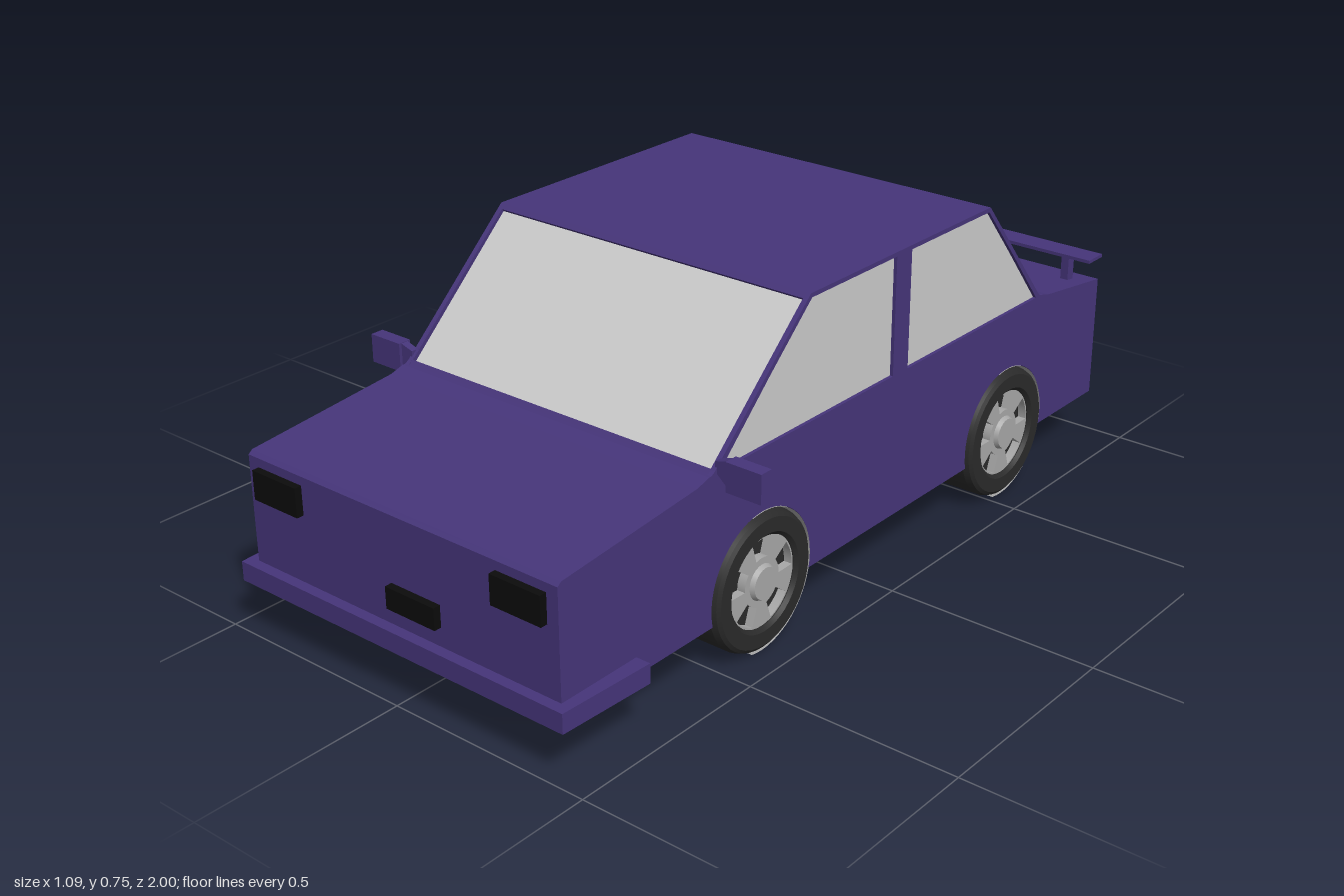
import * as THREE from 'three';

const mat = (color, side = THREE.FrontSide) => new THREE.MeshStandardMaterial({ color, side, flatShading: false });
const paint = mat(0x46357a), grey = mat(0xcccccc), metal = mat(0xa8a8a8, THREE.DoubleSide);
const rubber = mat(0x2a2a2a), black = mat(0x0c0c0c);
const WHEELS_Z = [0.375, -0.545], WHEEL_Y = 0.16, ARCH_R = 0.163, FLOOR = 0.125;

function add(parent, name, geometry, material, x = 0, y = 0, z = 0) {
  const mesh = new THREE.Mesh(geometry, material);
  mesh.name = name;
  mesh.position.set(x, y, z);
  parent.add(mesh);
  return mesh;
}
const box = (w, h, d) => new THREE.BoxGeometry(w, h, d);
const poly = (pts) => new THREE.Shape(pts.map(([a, b]) => new THREE.Vector2(a, b)));
const path = (pts) => new THREE.Path(pts.map(([a, b]) => new THREE.Vector2(a, b)));

// side profile given as (z, y), extruded across the car from x0 to x1
function profile(shape, x0, x1) {
  const g = new THREE.ExtrudeGeometry(shape, { depth: x1 - x0, bevelEnabled: false, curveSegments: 24 });
  return g.rotateY(-Math.PI / 2).translate(x1, 0, 0);
}

// lower body outline, optionally cut by the wheel arches
function bodyShape(arches) {
  const s = poly([[0.975, FLOOR], [0.975, 0.412], [0.965, 0.42], [0.58, 0.455], [0.545, 0.465],
    [-0.685, 0.465], [-0.715, 0.457], [-0.95, 0.425], [-0.95, FLOOR]]);
  if (arches) {
    const a = Math.asin((WHEEL_Y - FLOOR) / ARCH_R);
    for (const z of [...WHEELS_Z].reverse()) s.absarc(z, WHEEL_Y, ARCH_R, Math.PI + a, -a, true);
  }
  return s;
}

// framed screen leaning between a lower and an upper edge
function screenFrame(z0, y0, z1, y1) {
  const len = Math.hypot(z1 - z0, y1 - y0), w = 0.43, i = 0.418;
  const s = poly([[-w, 0], [w, 0], [w, len], [-w, len]]);
  s.holes.push(path([[-i, 0.012], [-i, len - 0.015], [i, len - 0.015], [i, 0.012]]));
  const g = new THREE.ExtrudeGeometry(s, { depth: 0.01, bevelEnabled: false });
  g.translate(0, 0, -0.01).rotateX(-Math.atan2(Math.abs(z1 - z0), y1 - y0));
  if (z0 < 0) g.rotateY(Math.PI);
  return g.translate(0, y0, z0);
}

// wheel whose outer face points to +x
function makeWheel() {
  const wheel = new THREE.Group();
  const pts = [[0, -0.06], [0.135, -0.06], [0.151, -0.055], [0.158, -0.042], [0.158, 0.044],
    [0.153, 0.058], [0.145, 0.064], [0.112, 0.064], [0.104, 0.056], [0.104, 0.03], [0, 0.03]];
  // repeated corners keep the tread and sidewall edges crisp
  const crisp = pts.flatMap(([r, y]) => [new THREE.Vector2(r, y), new THREE.Vector2(r, y)]);
  add(wheel, 'tyre', new THREE.LatheGeometry(crisp, 40).rotateZ(-Math.PI / 2), rubber);

  const rim = new THREE.Shape().absarc(0, 0, 0.105, 0, Math.PI * 2);
  for (let k = 0; k < 5; k++) {
    const a = Math.PI / 2 + k * Math.PI * 0.4;
    const hole = new THREE.Path();
    hole.absarc(0, 0, 0.1, a - 0.32, a + 0.32, false);
    hole.absarc(0, 0, 0.056, a + 0.34, a - 0.34, true);
    hole.closePath();
    rim.holes.push(hole);
  }
  const rimGeo = new THREE.ExtrudeGeometry(rim, { depth: 0.02, bevelEnabled: false, curveSegments: 20 });
  add(wheel, 'spokedRim', rimGeo.rotateY(Math.PI / 2), metal, 0.034);
  add(wheel, 'hubCap', new THREE.CylinderGeometry(0.036, 0.042, 0.012, 24).rotateZ(-Math.PI / 2), metal, 0.058);
  return wheel;
}

export function createModel() {
  const car = new THREE.Group();
  car.name = 'car';

  // lower body: solid core with arched flanks
  add(car, 'bodyCore', profile(bodyShape(false), -0.305, 0.305), paint);
  add(car, 'leftFlank', profile(bodyShape(true), 0.305, 0.43), paint);
  add(car, 'rightFlank', profile(bodyShape(true), -0.43, -0.305), paint);

  // cabin: glass block behind window frames, closed by the roof
  const cabin = new THREE.Group();
  cabin.name = 'cabin';
  car.add(cabin);
  add(cabin, 'glass', profile(poly([[0.523, 0.462], [0.221, 0.743], [-0.431, 0.743], [-0.668, 0.462]]), -0.422, 0.422), grey);
  const side = poly([[0.545, 0.46], [0.528, 0.471], [0.225, 0.75], [-0.435, 0.75], [-0.67, 0.471], [-0.69, 0.46]]);
  side.holes.push(path([[0.512, 0.466], [-0.075, 0.466], [-0.075, 0.744], [0.222, 0.744]]));
  side.holes.push(path([[-0.13, 0.466], [-0.658, 0.466], [-0.43, 0.744], [-0.13, 0.744]]));
  add(cabin, 'leftWindowFrame', profile(side, 0.42, 0.43), paint);
  add(cabin, 'rightWindowFrame', profile(side, -0.43, -0.42), paint);
  add(cabin, 'roof', box(0.86, 0.01, 0.66), paint, 0, 0.745, -0.105);
  add(cabin, 'windscreenFrame', screenFrame(0.534, 0.465, 0.225, 0.75), paint);
  add(cabin, 'rearScreenFrame', screenFrame(-0.675, 0.465, -0.435, 0.75), paint);

  // front lip wrapping round the nose
  const lip = new THREE.ExtrudeGeometry(
    poly([[-0.465, -0.765], [-0.455, -1], [0.455, -1], [0.465, -0.765]]), { depth: 0.045, bevelEnabled: false });
  add(car, 'frontLip', lip.rotateX(-Math.PI / 2).scale(1, 1, 1), paint, 0, 0.121, 0);
  lip.computeBoundingBox();

  // number plates
  add(car, 'frontPlate', box(0.135, 0.05, 0.025), black, 0.048, 0.235, 0.98);
  add(car, 'rearPlate', box(0.12, 0.05, 0.012), black, -0.005, 0.185, -0.952);

  const mirrorArm = poly([[0.425, 0.468], [0.458, 0.44], [0.458, 0.5], [0.425, 0.49]]);
  for (const s of [1, -1]) {
    const label = s > 0 ? 'left' : 'right';
    add(car, label + 'Headlight', box(0.13, 0.067, 0.03), black, s * 0.336, 0.358, 0.977);
    add(car, label + 'TailLight', box(0.13, 0.065, 0.03), black, s * 0.345, 0.36, -0.952);

    // door mirrors
    const mirror = new THREE.Group();
    mirror.name = label + 'Mirror';
    add(mirror, 'mirrorHousing', box(0.088, 0.066, 0.032), paint, 0.501, 0.468, 0.512);
    const arm = new THREE.ExtrudeGeometry(mirrorArm, { depth: 0.018, bevelEnabled: false });
    add(mirror, 'mirrorArm', arm, paint, 0, 0, 0.503);
    if (s < 0) mirror.scale.x = -1;
    car.add(mirror);

    // spoiler stands
    add(car, label + 'SpoilerStand', box(0.02, 0.075, 0.025), paint, s * 0.38, 0.465, -0.884);

    // wheels and arch liners
    WHEELS_Z.forEach((z, i) => {
      const wheel = makeWheel();
      wheel.name = label + (i ? 'Rear' : 'Front') + 'Wheel';
      wheel.position.set(s * 0.376, WHEEL_Y, z);
      if (s < 0) wheel.rotation.y = Math.PI;
      car.add(wheel);
      const liner = new THREE.CylinderGeometry(0.162, 0.162, 0.126, 32, 1, true, -0.2, Math.PI + 0.4);
      liner.rotateZ(Math.PI / 2).rotateX(-Math.PI / 2);
      // sweep the open side downwards
      liner.computeBoundingBox();
      if (liner.boundingBox.max.y < 0.1) liner.rotateX(Math.PI);
      add(car, label + (i ? 'Rear' : 'Front') + 'ArchLiner', liner, metal, s * 0.368, WHEEL_Y, z);
    });
  }
  add(car, 'spoilerBlade', box(0.91, 0.008, 0.06), paint, 0, 0.502, -0.885);

  // twin exhaust pipes, open at the back
  const pipe = [[0.026, 0.1], [0.032, 0], [0.032, 0.28], [0.025, 0.28], [0.025, 0.1], [0, 0.1]];
  pipe[0] = [0, 0];
  const pipePts = pipe.flatMap(([r, y]) => [new THREE.Vector2(r, y), new THREE.Vector2(r, y)]);
  for (const x of [-0.19, -0.275]) {
    add(car, 'exhaustPipe', new THREE.LatheGeometry(pipePts, 24).rotateX(-Math.PI / 2), metal, x, 0.132, -0.72);
  }
  return car;
}
